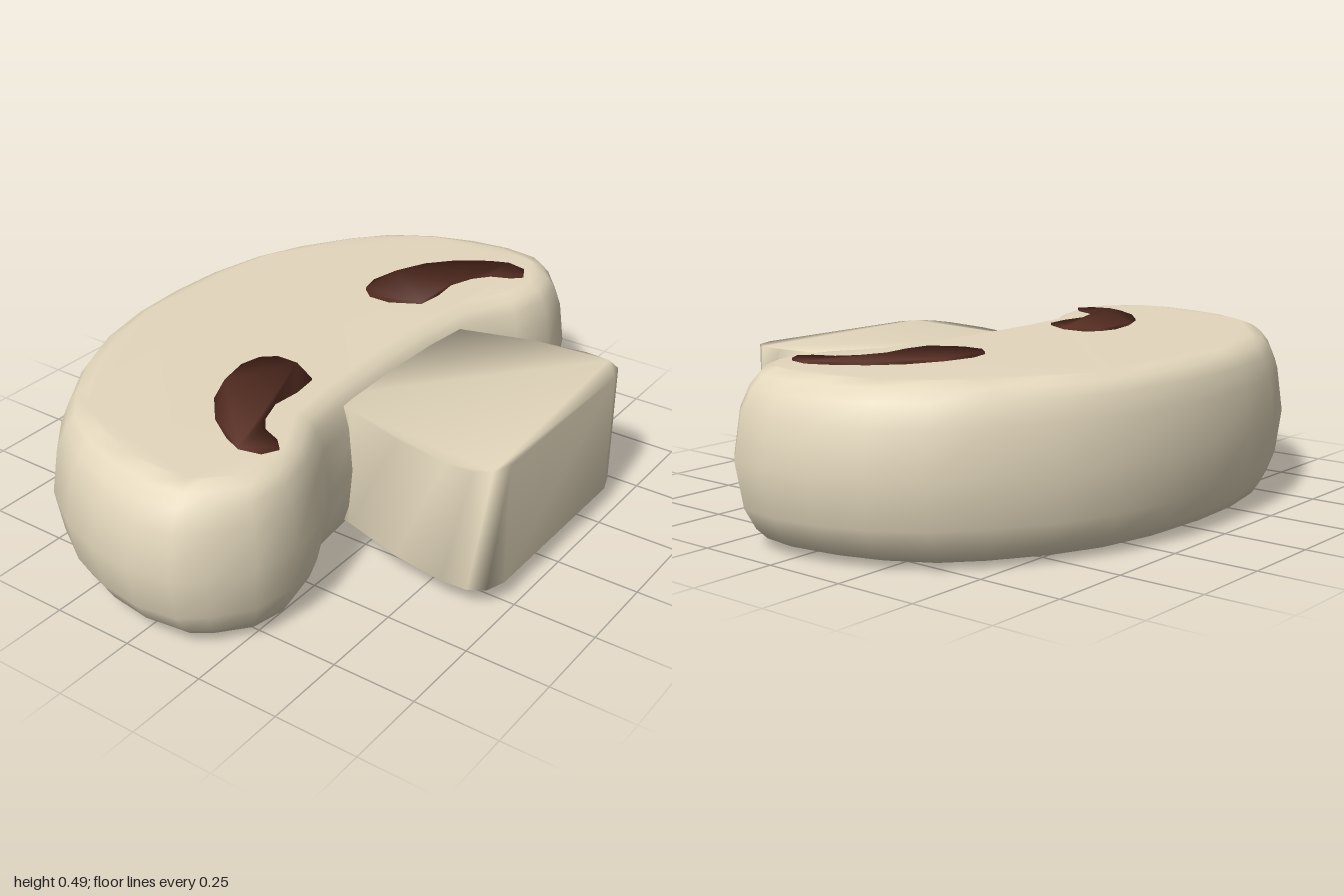
import * as THREE from 'three';

const cream = new THREE.MeshStandardMaterial({ color: 0xe4d8bd });
const brown = new THREE.MeshStandardMaterial({ color: 0x5a3024 });

// Stack copies of an [x, z] outline at heights y, each pulled in by dx / dz along
// the outline normal, close both ends, and smooth the whole surface.
function loft(name, outline, rings, material) {
  const pts = outline.map(([x, z]) => new THREE.Vector2(x, -z));
  if (THREE.ShapeUtils.area(pts) < 0) pts.reverse();
  const n = pts.length;
  const normals = pts.map((p, i) => {
    const d = pts[(i + 1) % n].clone().sub(pts[(i + n - 1) % n]).normalize();
    return new THREE.Vector2(d.y, -d.x);
  });
  const pos = [], index = [];
  for (const [y, dx, dz] of rings) {
    pts.forEach((p, i) => pos.push(p.x - normals[i].x * dx, y, -(p.y - normals[i].y * dz)));
  }
  for (let r = 0; r < rings.length - 1; r++) {
    for (let i = 0; i < n; i++) {
      const a = r * n + i, b = r * n + (i + 1) % n;
      index.push(a, b, b + n, a, b + n, a + n);
    }
  }
  // flat ends, triangulated on the inset outline
  const top = (rings.length - 1) * n;
  const endPts = pts.map((p, i) => new THREE.Vector2(pos[(top + i) * 3], -pos[(top + i) * 3 + 2]));
  for (const tri of THREE.ShapeUtils.triangulateShape(endPts, [])) {
    let [a, b, c] = tri;
    if (THREE.ShapeUtils.area([endPts[a], endPts[b], endPts[c]]) < 0) [b, c] = [c, b];
    index.push(top + a, top + b, top + c, a, c, b);
  }
  const geometry = new THREE.BufferGeometry();
  geometry.setAttribute('position', new THREE.Float32BufferAttribute(pos, 3));
  geometry.setIndex(index);
  geometry.computeVertexNormals();
  const mesh = new THREE.Mesh(geometry, material);
  mesh.name = name;
  return mesh;
}

export function createModel() {
  const group = new THREE.Group();
  group.name = 'mushroomSlice';

  // Cap: mirrored half outline with a rounded rim
  const half = [
    [0.19, -0.71], [0.39, -0.67], [0.56, -0.6], [0.72, -0.5], [0.84, -0.4], [0.93, -0.26],
    [0.98, -0.12], [1, 0.02], [0.98, 0.15], [0.92, 0.22], [0.81, 0.3], [0.67, 0.325],
    [0.52, 0.295], [0.39, 0.225], [0.2, 0.205],
  ];
  const capOutline = [
    [0, -0.72], ...half, [0, 0.2], ...half.map(([x, z]) => [-x, z]).reverse(),
  ];
  const rim = [[0, 0, 0], [0.13, 0.025, 0.015], [0.19, 0.06, 0.035], [0.222, 0.095, 0.055], [0.238, 0.14, 0.09]];
  const mid = 0.247;
  const capRings = [
    ...rim.slice(1).reverse().map(([h, dx, dz]) => [mid - h, dx, dz]),
    ...rim.map(([h, dx, dz]) => [mid + h, dx, dz]),
  ];
  group.add(loft('cap', capOutline, capRings, cream));

  // Stem: flared slab, slightly off centre, running into the cap
  const stemOutline = [
    [-0.24, 0.1], [-0.26, 0.2], [-0.32, 0.4], [-0.345, 0.57], [-0.34, 0.65], [-0.31, 0.695],
    [-0.25, 0.715], [0.34, 0.715], [0.4, 0.695], [0.43, 0.65], [0.435, 0.57], [0.41, 0.4],
    [0.35, 0.2], [0.33, 0.1],
  ];
  group.add(loft('stem', stemOutline, [[0.06, 0, 0], [0.44, 0, 0]], cream));

  // Gills: curved brown inlays showing on both faces of the cap
  const gill = [
    [-0.2, -0.03], [-0.2, -0.1], [-0.235, -0.14], [-0.3, -0.155], [-0.4, -0.135], [-0.5, -0.09],
    [-0.58, -0.02], [-0.64, 0.07], [-0.665, 0.13], [-0.65, 0.195], [-0.605, 0.22], [-0.575, 0.19],
    [-0.55, 0.13], [-0.5, 0.09], [-0.42, 0.062], [-0.33, 0.07], [-0.25, 0.06],
  ];
  const mirrored = gill.map(([x, z]) => [0.095 - x, z - 0.02]);
  const gillRings = [[0, 0, 0], [0.492, 0, 0]];
  group.add(loft('rightGill', gill, gillRings, brown));
  group.add(loft('leftGill', mirrored, gillRings, brown));

  return group;
}
